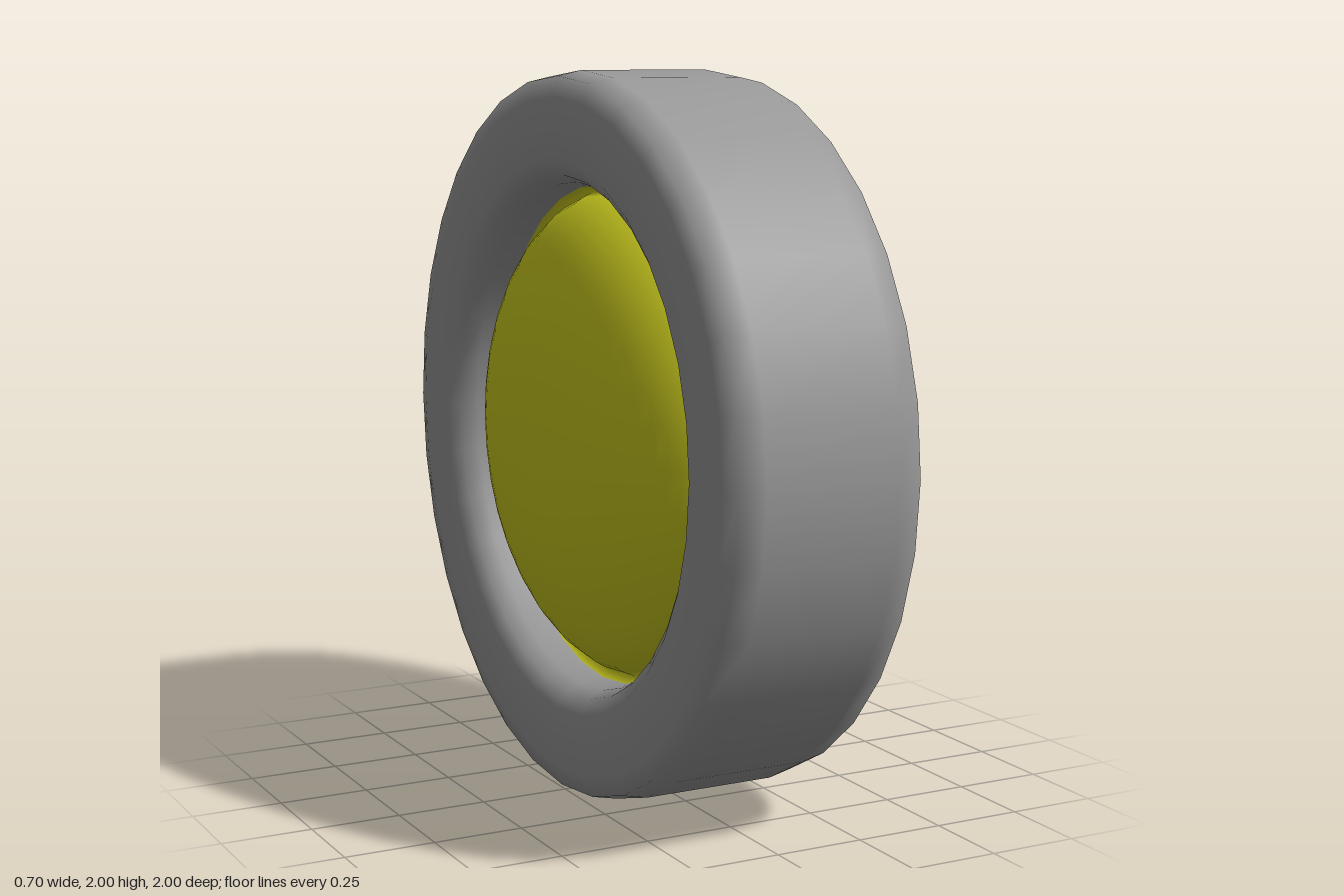
import * as THREE from 'three';

const SEGMENTS = 32;

function lathe(name, points, material) {
  const geometry = new THREE.LatheGeometry(points.map(([r, y]) => new THREE.Vector2(r, y)), SEGMENTS);
  const mesh = new THREE.Mesh(geometry, material);
  mesh.name = name;
  return mesh;
}

// Hub profile: small raised lip, then a full, slightly squared dome up to the axle
function hubProfile() {
  const points = [[0.7, 0.132], [0.69, 0.13]];
  const steps = 16, start = 1.347, power = 2 / 2.3;
  for (let i = 0; i < steps; i++) {
    const a = start * (1 - i / steps);
    points.push([0.69 * Math.sin(a) ** power, 0.35 * Math.cos(a) ** power]);
  }
  points.push([0, 0.35]);
  return points;
}

export function createModel() {
  const grey = new THREE.MeshStandardMaterial({ color: 0x999999 });
  const yellow = new THREE.MeshStandardMaterial({ color: 0xcccc20 });

  const wheel = new THREE.Group();
  wheel.name = 'wheel';

  // Tyre: half profile [radius, offset] from tread to bore, mirrored into a loop
  const half = [
    [1, 0.19], [0.985, 0.26], [0.93, 0.274], [0.85, 0.275],
    [0.76, 0.272], [0.72, 0.245], [0.7, 0.2], [0.69, 0.13],
  ];
  const mirrored = half.map(([r, y]) => [r, -y]).reverse();
  wheel.add(lathe('tire', [...mirrored, ...half, mirrored[0]], grey));

  // One domed hub on each side
  const leftHub = lathe('leftHub', hubProfile(), yellow);
  const rightHub = lathe('rightHub', hubProfile(), yellow);
  rightHub.rotation.x = Math.PI;
  wheel.add(leftHub, rightHub);

  // Stand the wheel upright with its axle along x
  wheel.rotation.z = -Math.PI / 2;
  wheel.position.y = 1;

  const model = new THREE.Group();
  model.name = 'wheelModel';
  model.add(wheel);
  return model;
}
